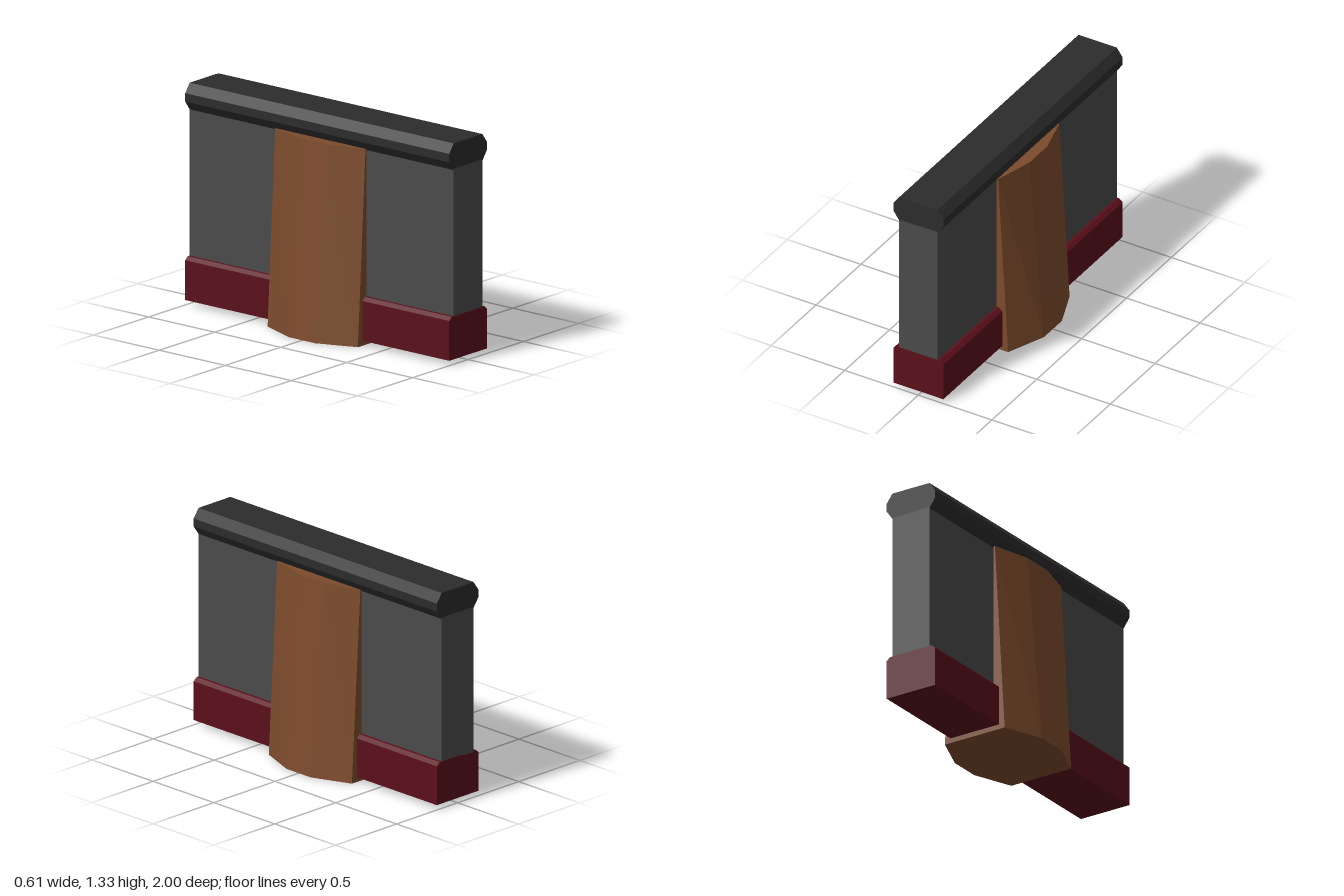
import * as THREE from 'three';

const material = (color) => new THREE.MeshStandardMaterial({ color, flatShading: true });

// Closed shape mirrored across x = 0 from its right-hand half, listed bottom to top
function mirroredShape(half) {
  const left = half.map(([x, y]) => [-x, y]).reverse();
  return new THREE.Shape([...half, ...left].map(([x, y]) => new THREE.Vector2(x, y)));
}

function extrude(half, depth) {
  return new THREE.ExtrudeGeometry(mirroredShape(half), { depth, bevelEnabled: false, steps: 1 });
}

export function createModel() {
  const group = new THREE.Group();
  const add = (name, geometry, color) => {
    const mesh = new THREE.Mesh(geometry, material(color));
    mesh.name = name;
    group.add(mesh);
  };

  // Straight runs along z: bottom-to-top half profiles
  const runs = [
    ['baseboard', [[0.17, 0.03], [0.17, 0.27], [0.147, 0.29]], 0x5a0f1a],
    ['wallPanel', [[0.13, 0.28], [0.13, 1.18]], 0x4a4a4a],
    ['topRail', [[0.13, 1.172], [0.17, 1.228], [0.17, 1.278], [0.13, 1.333]], 0x2c2c2c],
  ];
  for (const [name, half, color] of runs) {
    add(name, extrude(half, 2).translate(0, 0, -1), color);
  }

  // Central post: faceted plan, narrowing across x towards the top
  const height = 1.18;
  const post = extrude([[0.21, -0.342], [0.305, -0.1], [0.305, 0.1], [0.21, 0.342]], height);
  post.rotateX(-Math.PI / 2);
  const p = post.attributes.position;
  for (let i = 0; i < p.count; i++) {
    p.setX(i, p.getX(i) * (1 - 0.328 * p.getY(i) / height));
  }
  post.computeVertexNormals();
  add('centralPost', post, 0x7c4b2c);

  return group;
}
